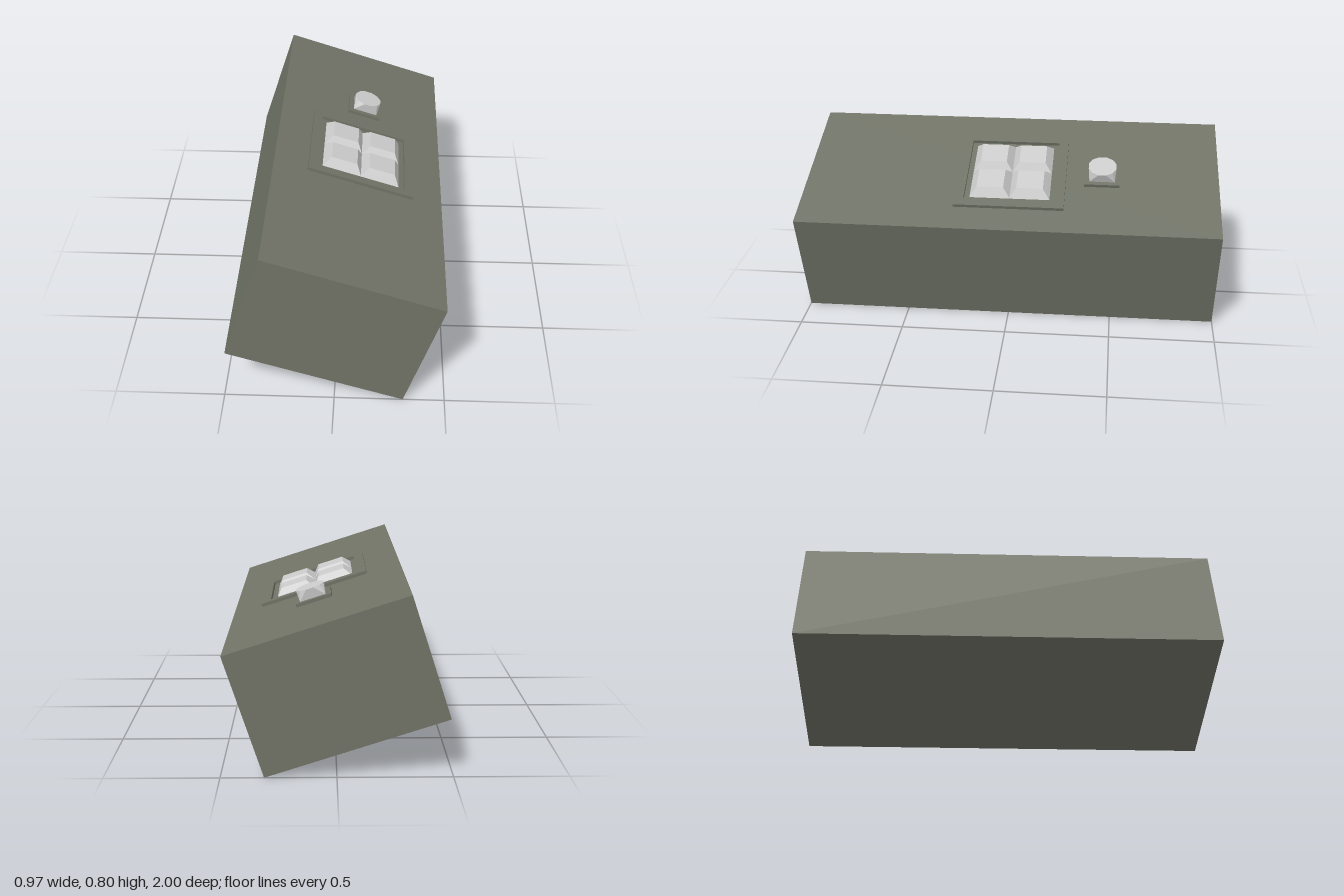
import * as THREE from 'three';
import { ConvexGeometry } from 'three/addons/geometries/ConvexGeometry.js';

const W = 0.838, H = 0.565, D = 2, TILT = -0.3131;
const PLATE = 0.0155;

export function createModel() {
  const model = new THREE.Group();
  const olive = new THREE.MeshStandardMaterial({ color: 0x707366, flatShading: true });
  const grey = new THREE.MeshStandardMaterial({ color: 0xcccccc, flatShading: true });

  // Everything sits on the sloped top face; y = 0 here is that face
  const tilted = new THREE.Group();
  tilted.name = 'tiltedConsole';
  tilted.rotation.z = TILT;
  tilted.position.set(-Math.sin(TILT) * H / 2, 0.4 + Math.cos(TILT) * H / 2, 0);
  model.add(tilted);

  const add = (name, geometry, material, x, y, z) => {
    const mesh = new THREE.Mesh(geometry, material);
    mesh.name = name;
    mesh.position.set(x, y, z);
    tilted.add(mesh);
  };
  const square = (Type, h) => new Type(
    [[-h, -h], [h, -h], [h, h], [-h, h]].map(([x, y]) => new THREE.Vector2(x, y)));
  const squareRing = (h, y) =>
    [[-h, -h], [h, -h], [h, h], [-h, h]].map(([x, z]) => new THREE.Vector3(x, y, z));

  // Main block
  add('body', new THREE.BoxGeometry(W, H, D), olive, 0, -H / 2, 0);

  // Raised frame around the keys
  const frameShape = square(THREE.Shape, 0.263);
  frameShape.holes.push(square(THREE.Path, 0.217));
  const frame = new THREE.ExtrudeGeometry(frameShape, { depth: PLATE, bevelEnabled: false });
  frame.rotateX(-Math.PI / 2);
  add('keyFrame', frame, olive, 0.009, 0, -0.002);

  // Four tapered keys
  const key = new ConvexGeometry([...squareRing(0.097, 0), ...squareRing(0.064, 0.041)]);
  for (const x of [-0.087, 0.103])
    for (const z of [-0.097, 0.093]) add('key', key, grey, x, 0, z);

  // Button: square foot blending into a round top, on its own plate
  add('buttonPlate', new THREE.BoxGeometry(0.17, PLATE, 0.17), olive, 0.01, PLATE / 2, -0.44);
  const rim = Array.from({ length: 12 }, (_, i) => {
    const a = (i + 0.5) * Math.PI / 6;
    return new THREE.Vector3(0.069 * Math.cos(a), 0.0625, 0.069 * Math.sin(a));
  });
  add('button', new ConvexGeometry([...squareRing(0.061, PLATE), ...rim]), grey, 0.012, 0, -0.44);

  return model;
}
